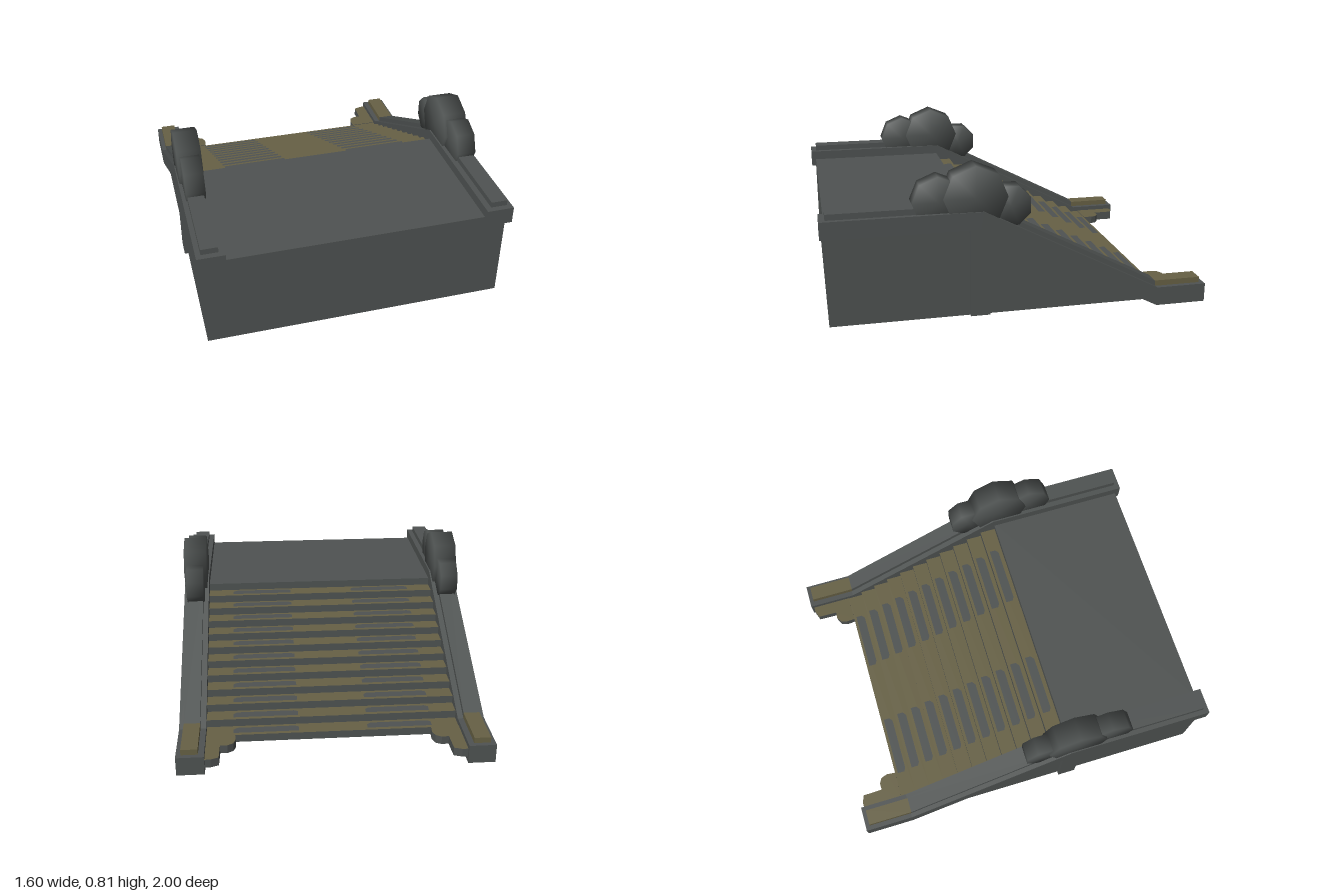
import * as THREE from 'three';

export function createModel() {
  const model = new THREE.Group();
  const stone = new THREE.MeshStandardMaterial({ color: 0x4f5352, side: THREE.DoubleSide });
  stone.name = 'dark grey stone';
  const moss = new THREE.MeshStandardMaterial({ color: 0x676145, side: THREE.DoubleSide });
  moss.name = 'olive moss';

  const add = (name, geometry, material, parent = model) => {
    const mesh = new THREE.Mesh(geometry, material);
    mesh.name = name;
    parent.add(mesh);
    return mesh;
  };
  const shapeOf = pts => new THREE.Shape(pts.map(p => new THREE.Vector2(p[0], p[1])));

  // Side profile given as [z, y], extruded across x from x0 to x1
  const acrossX = (pts, x0, x1) =>
    new THREE.ExtrudeGeometry(shapeOf(pts), { depth: x1 - x0, bevelEnabled: false })
      .rotateY(-Math.PI / 2).translate(x1, 0, 0);
  const box = (x0, x1, y0, y1, z0, z1) =>
    new THREE.BoxGeometry(x1 - x0, y1 - y0, z1 - z0)
      .translate((x0 + x1) / 2, (y0 + y1) / 2, (z0 + z1) / 2);
  const floor = (x0, x1, y, z0, z1) =>
    new THREE.PlaneGeometry(x1 - x0, z1 - z0).rotateX(-Math.PI / 2)
      .translate((x0 + x1) / 2, y, (z0 + z1) / 2);
  const wall = (x0, x1, y0, y1, z) =>
    new THREE.PlaneGeometry(x1 - x0, y1 - y0).translate((x0 + x1) / 2, (y0 + y1) / 2, z);

  // Landing and front wall, hollow underneath
  const top = 0.53, base = 0.03, edge = 0.21;
  add('landing', floor(-0.68, 0.68, top, edge, 0.975), stone);
  add('frontWall', wall(-0.775, 0.775, base, top, 0.975), stone);

  // Stairs descending to the back, with worn patches on each tread
  const stairs = new THREE.Group();
  stairs.name = 'stairs';
  model.add(stairs);
  const treads = 11, run = 0.97 / treads, rise = (top - base) / (treads + 1);
  for (let i = 0; i <= treads; i++) {
    const z = edge - i * run, y = top - (i + 1) * rise;
    add('riser', wall(-0.67, 0.67, y, y + rise, z).rotateY(Math.PI).translate(0, 0, 2 * z), stone, stairs);
    if (i === treads) break;
    add('tread', floor(-0.67, 0.67, y, z - run, z), moss, stairs);
    for (const s of [-1, 1]) {
      const patch = shapeOf([[-0.17, -0.015], [-0.15, -0.026], [0.15, -0.026], [0.17, -0.01], [0.17, 0.024], [-0.17, 0.024]]);
      add('wornPatch', new THREE.ShapeGeometry(patch).rotateX(-Math.PI / 2)
        .translate(s * 0.35, y + 0.003, z - run * 0.55), stone, stairs);
    }
  }

  // Eight-sided thick disc with soft shading, axis along x
  const disc = (r, h, turn) =>
    new THREE.LatheGeometry([[0, -h], [r, -h], [r, h], [0, h]].map(p => new THREE.Vector2(...p)), 8)
      .rotateY(turn).rotateZ(Math.PI / 2);

  for (const s of [1, -1]) {
    const side = new THREE.Group();
    side.name = s > 0 ? 'leftSide' : 'rightSide';
    model.add(side);
    const span = (a, b) => (s > 0 ? [a, b] : [-b, -a]);

    // Side wall
    const panel = shapeOf([[0.975, base], [0.975, 0.52], [0.2, 0.52], [-0.67, 0.06], [-0.67, base]]);
    add('sideWall', new THREE.ShapeGeometry(panel).rotateY(-Math.PI / 2).translate(s * 0.775, 0, 0), stone, side);
    add('pillar', box(...span(0.68, 0.795), base, 0.52, 0.17, 0.27), stone, side);

    // Sloping rail with a narrower cap strip
    add('rail', acrossX([[1, 0.49], [1, 0.58], [0.2, 0.58], [-0.73, 0.1], [-1, 0.1],
      [-1, 0], [-0.73, 0], [0.215, 0.49]], ...span(0.66, 0.8)), stone, side);
    add('railCap', acrossX([[0.97, 0.57], [0.97, 0.61], [0.21, 0.61], [-0.725, 0.13],
      [-0.725, 0.09], [0.2, 0.57]], ...span(0.69, 0.775)), stone, side);
    add('mossyRailEnd', box(...span(0.69, 0.775), 0.09, 0.13, -0.975, -0.725), moss, side);

    // Two-lobed foot beside the last step, mossy on top
    const foot = shapeOf([[0.67, 0.985], [0.63, 0.985], [0.59, 0.97], [0.587, 0.86], [0.55, 0.862],
      [0.52, 0.845], [0.508, 0.81], [0.512, 0.76], [0.67, 0.76]].map(p => [s * p[0], p[1]]));
    add('stepFoot', new THREE.ExtrudeGeometry(foot, { depth: 0.045, bevelEnabled: false })
      .rotateX(-Math.PI / 2).translate(0, 0.03, 0), [moss, stone], side);

    // Cluster of three rounded stones: z, y, radius, half width, turn
    for (const [z, y, r, h, turn] of [
      [0.24, 0.65, 0.162, 0.063, 0],
      [0.425, 0.635, 0.13, 0.05, 0],
      [0.06, 0.595, 0.108, 0.048, Math.PI / 8]]) {
      add('roundStone', disc(r, h, turn), stone, side).position.set(s * 0.731, y, z);
    }
  }
  return model;
}
